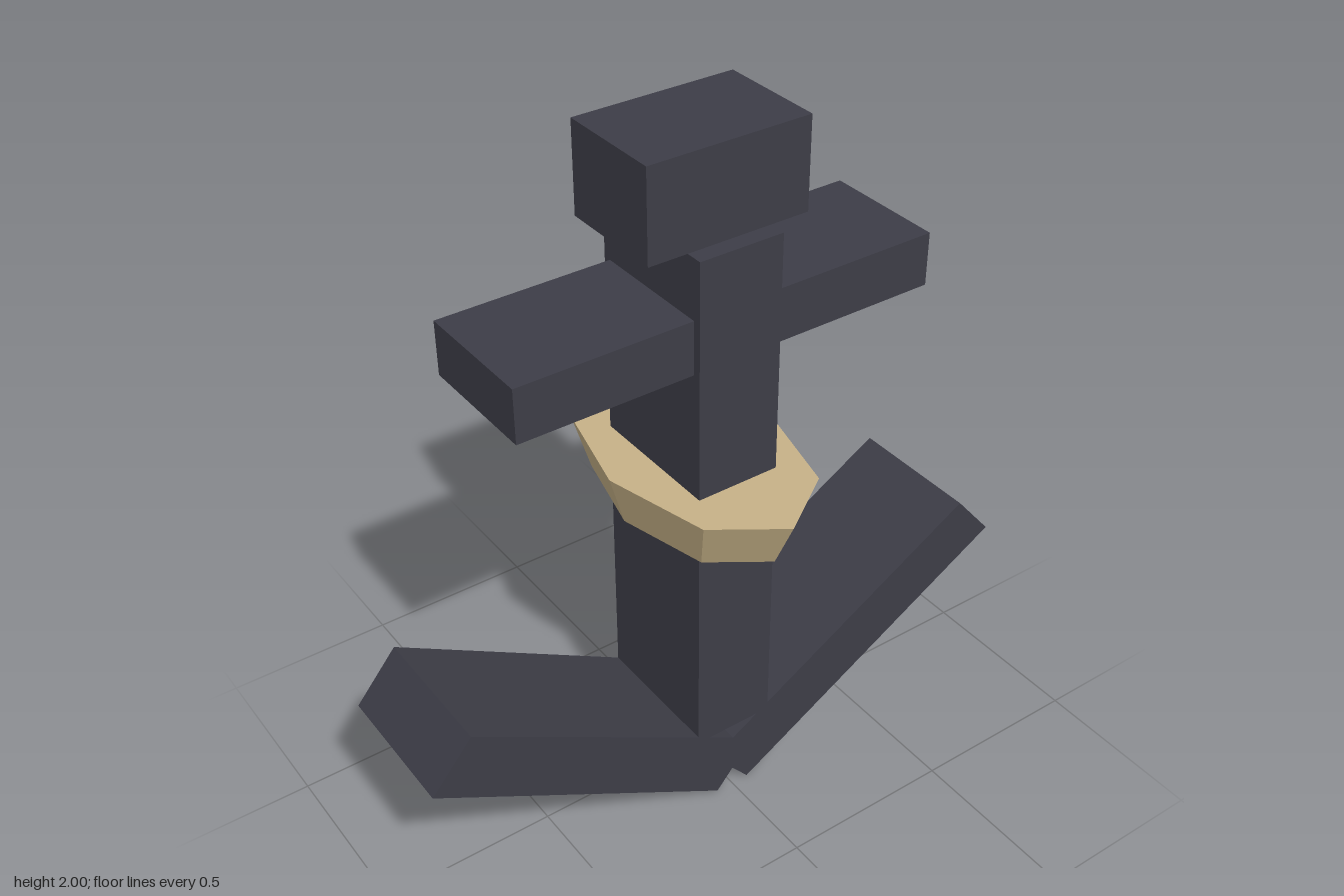
import * as THREE from 'three';

export function createModel() {
  const group = new THREE.Group();
  const iron = new THREE.MeshStandardMaterial({ color: 0x3d3d47 });
  iron.name = 'dark iron';
  const rope = new THREE.MeshStandardMaterial({ color: 0xc6b187 });
  rope.name = 'tan rope';

  function add(name, geometry, material, y = 0) {
    const mesh = new THREE.Mesh(geometry, material);
    mesh.name = name;
    mesh.position.y = y;
    group.add(mesh);
    return mesh;
  }

  // Upright, crossbar and head block
  add('shank', new THREE.BoxGeometry(0.24, 1.52, 0.4), iron, 0.99);
  add('crossbar', new THREE.BoxGeometry(1.22, 0.15, 0.354), iron, 1.509);
  add('head', new THREE.BoxGeometry(0.46, 0.25, 0.304), iron, 1.875);

  // Slanted arms: skewed bars mirrored about the shank
  for (const side of [1, -1]) {
    const corners = [[0.052, 0], [0.926, 0.513], [0.806, 0.655], [-0.068, 0.142]];
    const shape = new THREE.Shape(corners.map(([x, y]) => new THREE.Vector2(side * x, y)));
    const arm = new THREE.ExtrudeGeometry(shape, { depth: 0.4, bevelEnabled: false });
    arm.translate(0, 0, -0.2);
    add(side > 0 ? 'leftArm' : 'rightArm', arm, iron);
  }

  // Eight-sided collar, flared upward and stretched front to back
  const collar = new THREE.CylinderGeometry(0.255, 0.214, 0.148, 8).toNonIndexed();
  collar.scale(1, 1, 1.668);
  collar.computeVertexNormals();
  add('collar', collar, rope, 1.001);

  return group;
}
